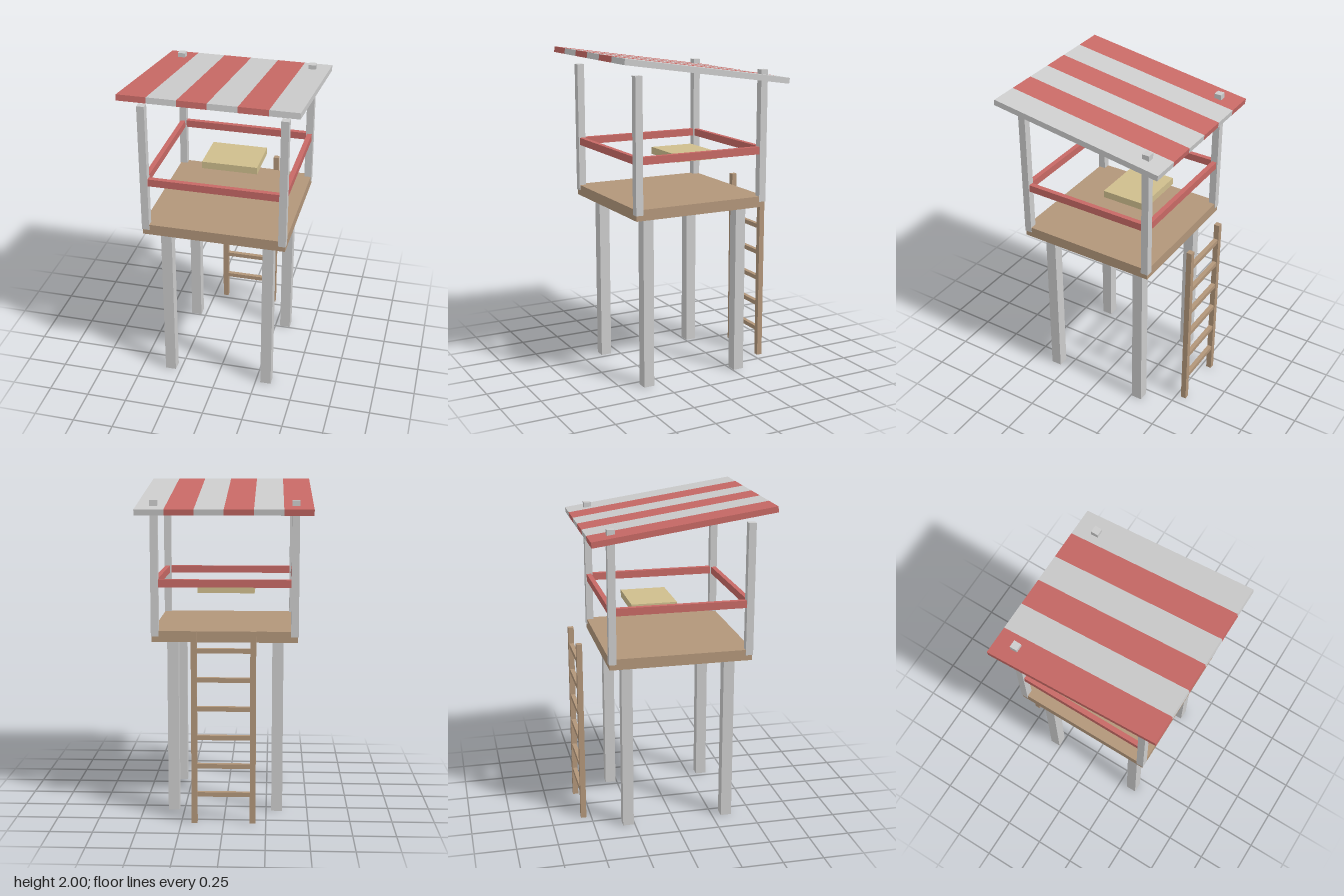
import * as THREE from 'three';

export function createModel() {
  const model = new THREE.Group();
  const material = (color) => new THREE.MeshStandardMaterial({ color });
  const grey = material(0xcccccc);
  const red = material(0xc76965);
  const wood = material(0xb2967a);
  const straw = material(0xcfbe8d);

  function box(name, mat, size, position, parent = model) {
    const mesh = new THREE.Mesh(new THREE.BoxGeometry(...size), mat);
    mesh.name = name;
    mesh.position.set(...position);
    parent.add(mesh);
    return mesh;
  }

  // Hut stands slightly forward, leaving room for the ladder behind
  const hut = new THREE.Group();
  hut.name = 'hut';
  hut.position.z = 0.024;
  model.add(hut);

  // Legs under the deck and posts above it, one per corner
  for (const sx of [-1, 1]) {
    for (const sz of [-1, 1]) {
      box('leg', grey, [0.067, 1.06, 0.067], [sx * 0.315, 0.53, sz * 0.315], hut);
      box('post', grey, [0.045, 0.8, 0.045], [sx * 0.414, 1.493, sz * 0.414], hut);
    }
  }
  box('deck', wood, [0.865, 0.066, 0.865], [0, 1.093, 0], hut);

  // Guard rails on all four sides
  for (const s of [-1, 1]) {
    box('crossRail', red, [0.79, 0.045, 0.03], [0, 1.408, s * 0.414], hut);
    box('sideRail', red, [0.03, 0.045, 0.79], [s * 0.414, 1.408, 0], hut);
  }

  // Raised seat
  box('seat', straw, [0.345, 0.044, 0.28], [0, 1.352, -0.109], hut);

  // Sloping striped roof, high at the front
  const roof = new THREE.Group();
  roof.name = 'roof';
  roof.position.y = 1.905;
  roof.rotation.x = -0.143;
  hut.add(roof);
  const stripe = 1.032 / 6;
  for (let i = 0; i < 6; i++) {
    box('roofStripe', i % 2 ? grey : red, [stripe, 0.035, 1.087], [(i - 2.5) * stripe, 0, 0], roof);
  }

  // Ladder behind the deck
  const ladder = new THREE.Group();
  ladder.name = 'ladder';
  ladder.position.z = -0.548;
  model.add(ladder);
  for (const s of [-1, 1]) {
    box('ladderRail', wood, [0.034, 1.15, 0.034], [s * 0.172, 0.575, 0], ladder);
  }
  for (let i = 0; i < 6; i++) {
    box('rung', wood, [0.312, 0.027, 0.027], [0, 0.175 + i * 0.172, 0], ladder);
  }

  return model;
}
